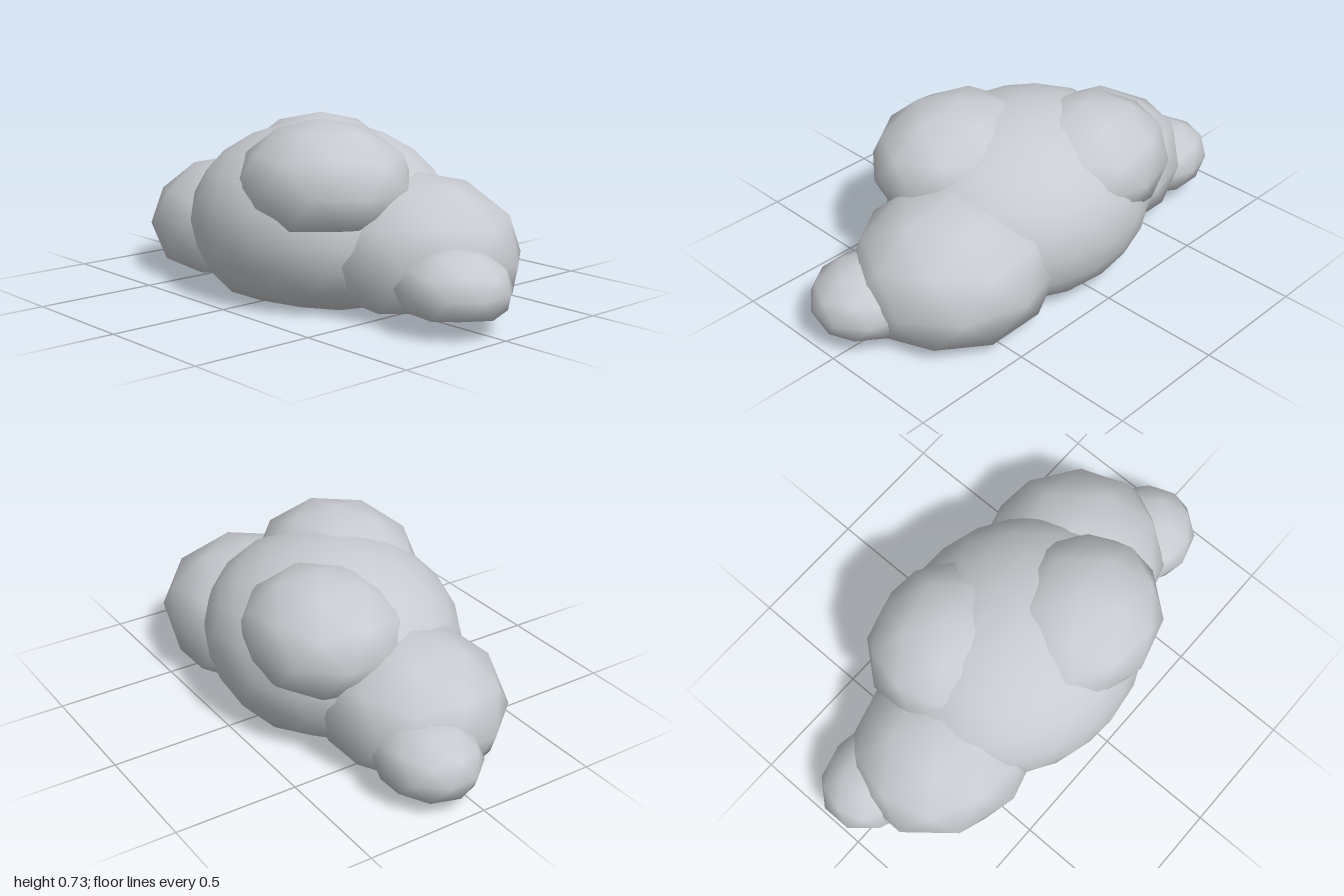
import * as THREE from 'three';
import { mergeVertices } from 'three/addons/utils/BufferGeometryUtils.js';

// Faceted ellipsoid, one corner pointing up, smooth normals, nearly flat underside
function puffGeometry([rx, ry, rz], detail, flat) {
  let geo = new THREE.IcosahedronGeometry(1, detail);
  geo.rotateX(-Math.atan((1 + Math.sqrt(5)) / 2));
  geo.rotateY(Math.PI / 2);
  geo.deleteAttribute('uv');
  geo.deleteAttribute('normal');
  geo = mergeVertices(geo, 1e-4);
  const p = geo.attributes.position;
  for (let i = 0; i < p.count; i++) {
    let y = p.getY(i);
    if (y < -flat) y = -flat + (y + flat) * 0.13;
    p.setXYZ(i, p.getX(i) * rx, y * ry, p.getZ(i) * rz);
  }
  geo.computeVertexNormals();
  return geo;
}

export function createModel() {
  const group = new THREE.Group();
  group.name = 'cloud';
  const cloudGrey = new THREE.MeshStandardMaterial({ color: 0xc8cbd0 });
  cloudGrey.name = 'cloudGrey';

  // name, centre, radii, subdivision, height of the flat underside
  const puffs = [
    ['mainPuff', [0, 0.29, -0.008], [0.58, 0.405, 0.502], 3, 0.66],
    ['leftPuff', [0.455, 0.22, -0.1], [0.428, 0.315, 0.39], 1, 0.56],
    ['rightPuff', [-0.48, 0.21, 0.03], [0.42, 0.295, 0.366], 1, 0.56],
    ['leftTipPuff', [0.782, 0.165, 0.045], [0.229, 0.155, 0.215], 1, 0.58],
    ['rightTipPuff', [-0.775, 0.16, -0.1], [0.236, 0.16, 0.2], 1, 0.55],
    ['frontTopPuff', [0.195, 0.48, 0.145], [0.372, 0.255, 0.33], 1, 0.6],
    ['backTopPuff', [-0.2, 0.44, -0.18], [0.36, 0.257, 0.32], 1, 0.6],
  ];
  for (const [name, centre, radii, detail, flat] of puffs) {
    const mesh = new THREE.Mesh(puffGeometry(radii, detail, flat), cloudGrey);
    mesh.name = name;
    mesh.position.set(...centre);
    group.add(mesh);
  }
  return group;
}
